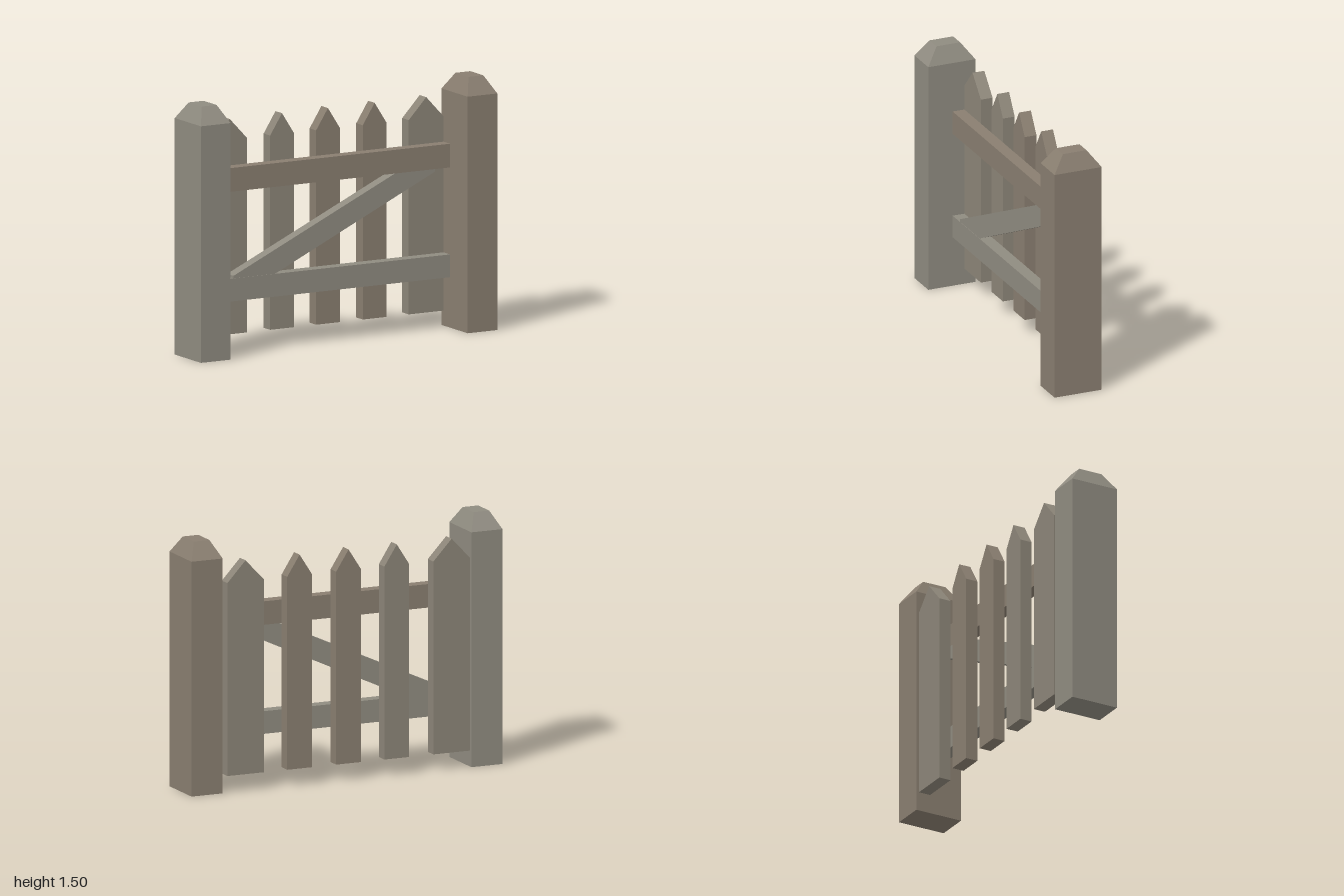
import * as THREE from 'three';

const wood = (color) => new THREE.MeshStandardMaterial({ color, flatShading: true });

// Board cut from an outline in the xy plane, spanning zBack to zFront
function board(name, points, zBack, zFront, material) {
  const shape = new THREE.Shape(points.map(([x, y]) => new THREE.Vector2(x, y)));
  const geometry = new THREE.ExtrudeGeometry(shape, { depth: zFront - zBack, bevelEnabled: false });
  geometry.translate(0, 0, zBack);
  const mesh = new THREE.Mesh(geometry, material);
  mesh.name = name;
  return mesh;
}

// Square-cut post whose top tapers to half its width and depth
function post(name, x, material) {
  const box = new THREE.BoxGeometry(0.2, 1.5, 0.3, 1, 2, 1);
  const p = box.attributes.position;
  for (let i = 0; i < p.count; i++) {
    const y = p.getY(i);
    if (Math.abs(y) < 0.01) p.setY(i, 0.65);
    else if (y > 0) p.setXYZ(i, p.getX(i) / 2, y, p.getZ(i) / 2);
  }
  const geometry = box.toNonIndexed();
  geometry.computeVertexNormals();
  const mesh = new THREE.Mesh(geometry, material);
  mesh.name = name;
  mesh.position.set(x, 0.75, 0);
  return mesh;
}

export function createModel() {
  const gate = new THREE.Group();
  gate.name = 'gate';
  const grey = wood(0x8f8b80);
  const mid = wood(0x8c8578);
  const brown = wood(0x897e70);

  // Posts
  gate.add(post('rightPost', -0.9, grey), post('leftPost', 0.9, brown));

  // Pointed pickets: left edge, right edge, tip
  const pickets = [
    [-0.79, -0.555, -0.673, mid],
    [-0.4, -0.24, -0.32, mid],
    [-0.09, 0.07, -0.01, brown],
    [0.225, 0.385, 0.305, brown],
    [0.535, 0.77, 0.653, mid],
  ];
  pickets.forEach(([a, b, tip, material], i) => {
    const outline = [[a, 0.1], [b, 0.1], [b, 1.25], [tip, 1.375], [a, 1.25]];
    gate.add(board(`picket${i + 1}`, outline, -0.15, -0.075, material));
  });

  // Horizontal rails
  const rail = (name, y0, y1, material) =>
    board(name, [[-0.79, y0], [0.77, y0], [0.77, y1], [-0.79, y1]], -0.075, 0, material);
  gate.add(rail('lowerRail', 0.31, 0.445, grey), rail('upperRail', 0.96, 1.1, brown));

  // Diagonal brace between the rails
  const brace = [[-0.69, 0.445], [-0.41, 0.445], [0.67, 0.945], [0.67, 0.96], [0.4, 0.96], [-0.69, 0.46]];
  gate.add(board('brace', brace, -0.075, -0.002, grey));

  return gate;
}
